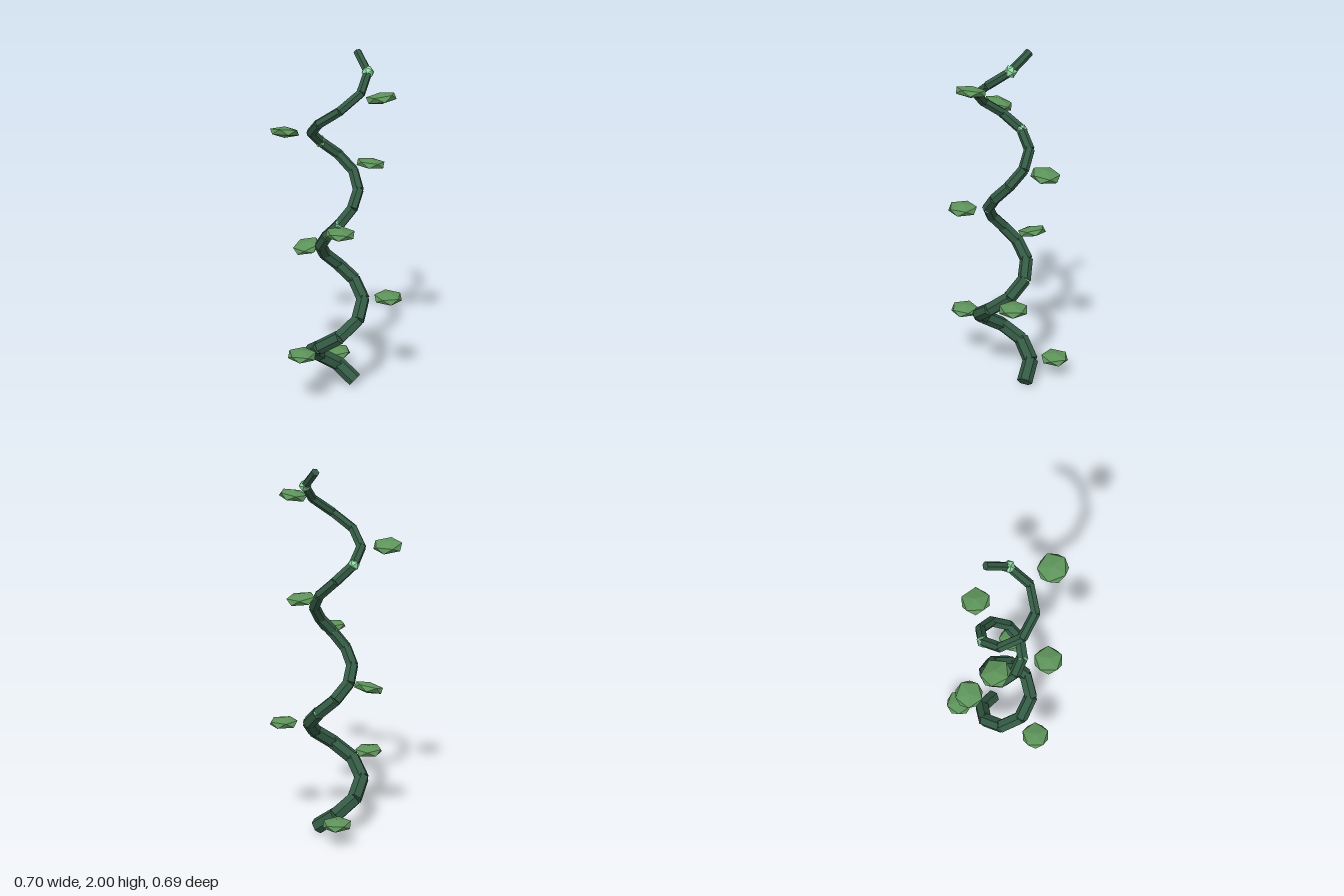
import * as THREE from 'three';

const mat = (name, color) => {
  const m = new THREE.MeshStandardMaterial({ color, flatShading: true });
  m.name = name;
  return m;
};

export function createModel() {
  const model = new THREE.Group();
  model.name = 'twistingVine';
  const stemGreen = mat('stem dark green', 0x335a44);
  const leafGreen = mat('leaf green', 0x5d935a);
  const budGreen = mat('bud pale green', 0x8fdba3);

  const N = 24; // eight stem pieces per turn, three turns
  const swirl = k => 0.125 + 0.03 * Math.sin((2 * Math.PI * (k + 1)) / 18);
  const thickness = k => 0.044 - (0.022 * k) / N;
  const point = (k, out = 0) => {
    const a = (k * Math.PI) / 4, r = swirl(k) + out;
    return new THREE.Vector3(0.015 + r * Math.cos(a), 0.037 + (1.943 * k) / N, -0.02 - r * Math.sin(a));
  };
  const add = (name, geometry, material, position) => {
    const mesh = new THREE.Mesh(geometry, material);
    mesh.name = name;
    mesh.position.copy(position);
    model.add(mesh);
    return mesh;
  };

  // Stem: straight six-sided pieces along a spiral of varying radius
  const up = new THREE.Vector3(0, 1, 0);
  for (let k = 0; k < N; k++) {
    const a = point(k), b = point(k + 1), dir = b.clone().sub(a);
    const geo = new THREE.CylinderGeometry(thickness(k + 1), thickness(k), dir.length() * 1.04, 6);
    add('stemPiece', geo, stemGreen, a.add(b).multiplyScalar(0.5))
      .quaternion.setFromUnitVectors(up, dir.normalize());
  }

  // Leaves: flattened faceted pads floating outside every third joint
  const pad = new THREE.IcosahedronGeometry(0.086, 0);
  pad.rotateZ(Math.atan(2 / (1 + Math.sqrt(5)))); // one corner points up
  pad.scale(1, 0.35, 1);
  // turn, tilt about x, tilt about z
  const poses = [
    [0.6, 0, -0.03], [0, 0, -0.05], [0.3, 0, 0], [0.6, -0.08, 0.25],
    [0, 0, -0.04], [0, 0, -0.15], [0.4, -0.15, -0.25], [Math.PI / 2, 0.2 * -1, 0],
  ];
  poses.forEach(([turn, tx, tz], i) => {
    add('leaf', pad, leafGreen, point(1 + 3 * i, 0.14).add(new THREE.Vector3(0, 0.004, 0)))
      .rotation.set(tx, turn, tz, 'ZXY');
  });

  // Buds: small pale knots on every fifth joint
  const bud = new THREE.IcosahedronGeometry(0.034, 0);
  for (let k = 3; k < N; k += 5) add('bud', bud, budGreen, point(k));

  return model;
}
